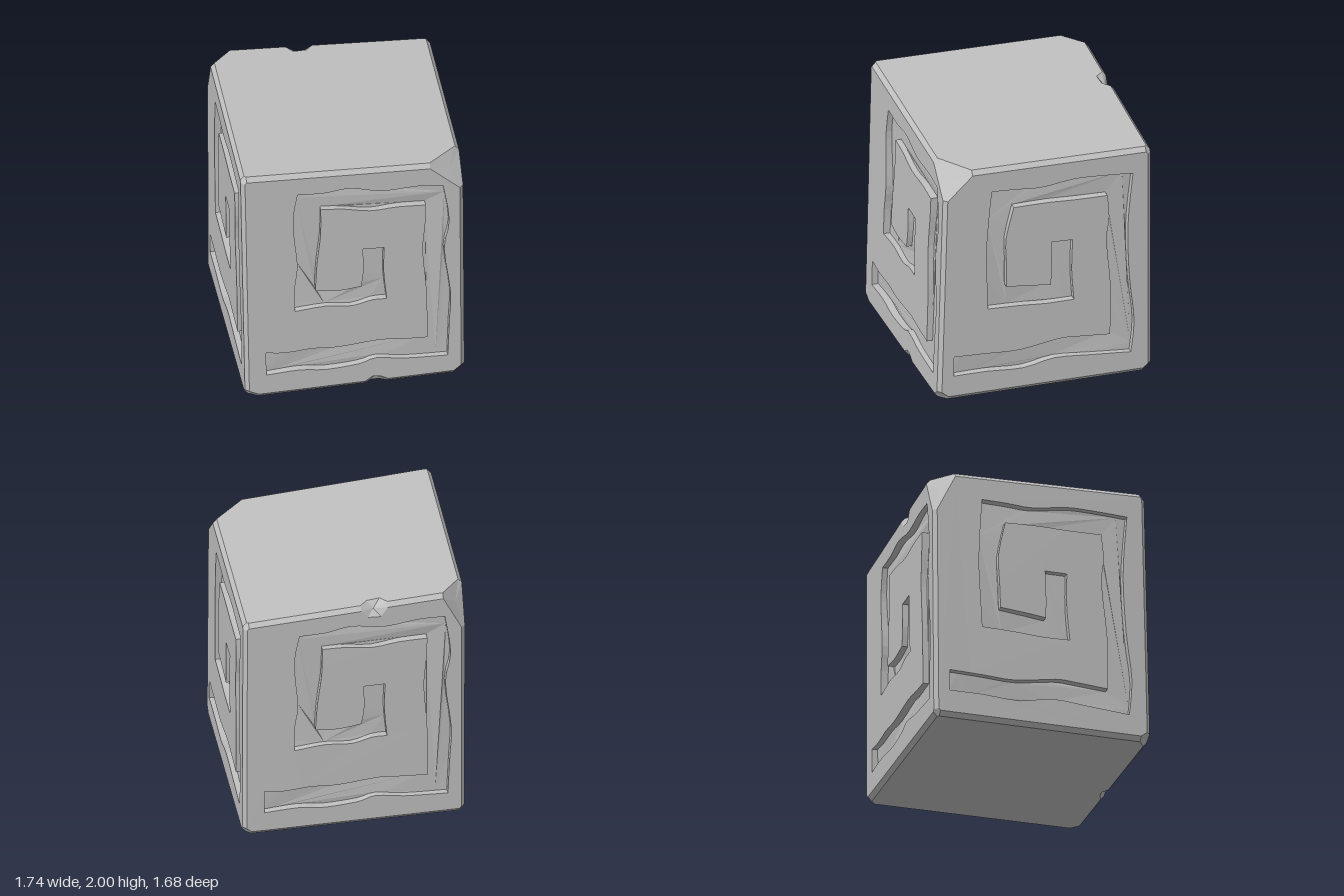
import * as THREE from 'three';

const V3 = (x, y, z) => new THREE.Vector3(x, y, z);
const BEVEL = 0.035, DEPTH = 0.06;

// Outer corners of the crooked block, keyed by sign of x, y, z
const CORNERS = {
  '-1,-1,1': V3(-0.85, 0, 0.835), '1,-1,1': V3(0.80, 0, 0.835),
  '-1,-1,-1': V3(-0.80, 0, -0.83), '1,-1,-1': V3(0.87, 0, -0.81),
  '-1,1,1': V3(-0.875, 2.0, 0.78), '1,1,1': V3(0.80, 1.905, 0.78),
  '-1,1,-1': V3(-0.80, 1.985, -0.845), '1,1,-1': V3(0.865, 1.885, -0.81),
};

// Broken corners: length cut off along x, y, z
const CUTS = {
  '1,1,1': [0.30, 0.235, 0.27], '-1,1,-1': [0.20, 0.32, 0.21],
  '-1,-1,1': [0.12, 0.07, 0.09], '1,-1,1': [0.10, 0.08, 0.10], '1,-1,-1': [0.08, 0.07, 0.08],
};
const DEFAULT_CUT = [0.05, 0.05, 0.05];

// Chips broken out of edges that run along x
const CHIPS = [
  { edge: V3(0, -1, 1), lo: 0.09, hi: 0.30, deep: 0.075, slope: 0.07 },
  { edge: V3(0, 1, -1), lo: -0.30, hi: -0.06, deep: 0.11, slope: 0.06 },
];

// Carved spirals: each row is one wavy side, starting where the last ended
const SPIRAL_A = [
  [-.45, .21, -.25, .185, 0, .20, .13, .235, .35, .20, .67, .18],
  [.685, .5, .695, .75, .65, 1.15, .69, 1.4, .645, 1.725],
  [.45, 1.745, .2, 1.74, 0, 1.79, -.1, 1.80, -.25, 1.785, -.44, 1.80],
  [-.475, 1.6, -.47, 1.4, -.45, 1.15, -.475, .95, -.475, .745],
  [-.25, .76, -.05, .735, .1, .765, .215, .76],
  [.195, 1, .2, 1.225], [.04, 1.235], [.045, 1.05, .025, .90], [-.15, .885, -.32, .91],
  [-.305, 1.15, -.275, 1.4, -.27, 1.64],
  [-.1, 1.62, .1, 1.575, .3, 1.58, .515, 1.565],
  [.51, 1.4, .49, 1.15, .515, .8, .52, .365],
  [.35, .375, .15, .395, -.15, .375, -.35, .39, -.55, .38, -.70, .40],
  [-.70, .20],
];
const SPIRAL_B = [
  [-.45, .20, -.17, .185, .07, .23, .35, .21, .655, .185],
  [.68, .45, .645, .8, .63, 1.15, .64, 1.4, .67, 1.69],
  [.4, 1.71, .2, 1.715, -.05, 1.685, -.25, 1.70, -.44, 1.71],
  [-.46, 1.45, -.47, 1.2, -.46, .95, -.45, .725],
  [-.2, .715, 0, .70, .215, .70],
  [.195, .95, .2, 1.205], [.035, 1.21], [.04, 1, .035, .85], [-.12, .87, -.31, .89],
  [-.315, 1.1, -.32, 1.3, -.265, 1.55],
  [0, 1.55, .2, 1.54, .47, 1.535],
  [.485, 1.35, .465, 1.15, .50, .75, .495, .36],
  [.25, .38, .1, .385, -.2, .34, -.45, .35, -.70, .36],
  [-.70, .20],
];

// Smooth each side and convert it to face coordinates from -1 to 1
function spiralOutline(sides, centre, half, topMid, topSlope) {
  const out = [];
  let start = new THREE.Vector2(-0.70, 0.20);
  for (const side of sides) {
    const pts = [start];
    for (let i = 0; i < side.length; i += 2) pts.push(new THREE.Vector2(side[i], side[i + 1]));
    const steps = pts.length === 2 ? 1 : (pts.length - 1) * 3;
    out.push(...new THREE.SplineCurve(pts).getPoints(steps).slice(0, -1));
    start = pts[pts.length - 1];
  }
  return out.map(p => new THREE.Vector2((p.x - centre) / half, 2 * p.y / (topMid + topSlope * p.x) - 1));
}

// Maps the unit cube onto the crooked block
function warp(p) {
  const r = V3(0, 0, 0);
  for (const key in CORNERS) {
    const [a, b, c] = key.split(',').map(Number);
    r.addScaledVector(CORNERS[key], (1 + a * p.x) * (1 + b * p.y) * (1 + c * p.z) / 8);
  }
  return r;
}

function makeMesh(name, tris, material) {
  const geo = new THREE.BufferGeometry().setFromPoints(tris.map(warp));
  geo.computeVertexNormals();
  const mesh = new THREE.Mesh(geo, material);
  mesh.name = name;
  return mesh;
}

// Fills a loop with a fan around its middle, facing away from the block
function fan(tris, loop, sink = 0) {
  const mid = loop.reduce((s, p) => s.add(p), V3(0, 0, 0)).divideScalar(loop.length);
  const normal = V3(0, 0, 0);
  loop.forEach((p, i) => normal.add(p.clone().sub(mid).cross(loop[(i + 1) % loop.length].clone().sub(mid))));
  const pts = normal.dot(mid) < 0 ? loop.slice().reverse() : loop;
  mid.multiplyScalar(1 - sink);
  pts.forEach((p, i) => tris.push(mid, p, pts[(i + 1) % pts.length]));
}

const axes = [V3(1, 0, 0), V3(0, 1, 0), V3(0, 0, 1)];
const cutAt = s => CUTS[s.toArray().map(v => Math.sign(v)).join(',')] || DEFAULT_CUT;

// Point on face n of corner s, at the end of the edge along axis a
function cornerPoint(s, n, a) {
  const p = s.clone();
  for (let i = 0; i < 3; i++) {
    if (i === n) continue;
    p.setComponent(i, s.getComponent(i) * (1 - (i === a ? cutAt(s)[a] : BEVEL)));
  }
  return p;
}

// Outline of a chip on face N beside the edge towards E
function chipPoints(c, N, E) {
  return [[c.lo, BEVEL], [c.lo + c.slope, c.deep], [c.hi - c.slope, c.deep * 0.9], [c.hi, BEVEL]]
    .map(([x, inset]) => N.clone().addScaledVector(E, 1 - inset).setX(x));
}
const chipOn = mid => CHIPS.find(c => c.edge.distanceTo(mid) < 0.01);

function panelOutline(N, U, V) {
  const axisOf = v => v.toArray().findIndex(c => Math.abs(c) > 0.5);
  const n = axisOf(N), neg = v => v.clone().negate(), out = [];
  const walk = [[neg(V), U], [U, V], [V, neg(U)], [neg(U), neg(V)]];
  for (const [E, dir] of walk) {
    const a = axisOf(dir), mid = N.clone().add(E), chip = chipOn(mid);
    out.push(cornerPoint(mid.clone().sub(dir), n, a));
    if (chip) out.push(...(dir.x > 0 ? chipPoints(chip, N, E) : chipPoints(chip, N, E).reverse()));
    out.push(cornerPoint(mid.clone().add(dir), n, a));
  }
  return out.map(p => new THREE.Vector2(p.dot(U), p.dot(V)));
}

export function createModel() {
  const group = new THREE.Group();
  group.name = 'carvedStoneBlock';
  const stone = new THREE.MeshStandardMaterial({ color: 0xc0c0c0 });
  stone.name = 'stone grey';

  const spiralA = spiralOutline(SPIRAL_A, -0.03, 0.83, 1.953, -0.057);
  const spiralB = spiralOutline(SPIRAL_B, 0, 0.815, 1.895, -0.012);
  const X = axes[0], Y = axes[1], Z = axes[2], nX = V3(-1, 0, 0), nY = V3(0, -1, 0), nZ = V3(0, 0, -1);
  const faces = [
    ['front', Z, X, Y, spiralA], ['right', X, nZ, Y, spiralB],
    ['back', nZ, nX, Y, spiralA], ['left', nX, Z, Y, spiralB],
    ['top', Y, X, nZ, null], ['bottom', nY, X, Z, null],
  ];

  // Flat panels and their carved grooves
  for (const [name, N, U, V, spiral] of faces) {
    const at = (p, d = 0) => N.clone().multiplyScalar(1 - d).addScaledVector(U, p.x).addScaledVector(V, p.y);
    const outline = panelOutline(N, U, V);
    const hole = spiral ? spiral.slice().reverse() : [];
    const all = outline.concat(hole);
    const cells = THREE.ShapeUtils.triangulateShape(outline, spiral ? [hole] : []);
    group.add(makeMesh(name + 'Panel', cells.flat().map(i => at(all[i])), stone));
    if (!spiral) continue;

    const floor = spiral.map((p, i) => at(p, DEPTH + 0.009 * Math.sin(i * 12.9)));
    const floorCells = THREE.ShapeUtils.triangulateShape(spiral.slice(), []);
    group.add(makeMesh(name + 'GrooveFloor', floorCells.flat().map(i => floor[i]), stone));
    const walls = [];
    spiral.forEach((p, i) => {
      const j = (i + 1) % spiral.length, a = at(p), b = at(spiral[j]);
      walls.push(a, b, floor[j], a, floor[j], floor[i]);
    });
    group.add(makeMesh(name + 'GrooveWalls', walls, stone));
  }

  // Worn edges, split where a chip interrupts them
  const edges = [], chips = [], corners = [];
  for (let a = 0; a < 3; a++) for (const sb of [-1, 1]) for (const sc of [-1, 1]) {
    const b = (a + 1) % 3, c = (a + 2) % 3;
    const N = axes[b].clone().multiplyScalar(sb), E = axes[c].clone().multiplyScalar(sc);
    const mid = N.clone().add(E), chip = chipOn(mid);
    const lo = mid.clone().sub(axes[a]), hi = mid.clone().add(axes[a]);
    const onN = [cornerPoint(lo, b, a), cornerPoint(hi, b, a)];
    const onE = [cornerPoint(lo, c, a), cornerPoint(hi, c, a)];
    if (chip) {
      const p = chipPoints(chip, N, E), q = chipPoints(chip, E, N);
      fan(edges, [onN[0], p[0], q[0], onE[0]]);
      fan(edges, [p[3], onN[1], onE[1], q[3]]);
      fan(chips, [...p, ...q.reverse()], 0.02);
    } else fan(edges, [onN[0], onN[1], onE[1], onE[0]]);
  }

  // Broken corners
  for (const key in CORNERS) {
    const s = V3(...key.split(',').map(Number));
    fan(corners, [[0, 1], [0, 2], [1, 2], [1, 0], [2, 0], [2, 1]].map(([n, a]) => cornerPoint(s, n, a)));
  }
  group.add(makeMesh('wornEdges', edges, stone));
  group.add(makeMesh('edgeChips', chips, stone));
  group.add(makeMesh('brokenCorners', corners, stone));
  return group;
}
